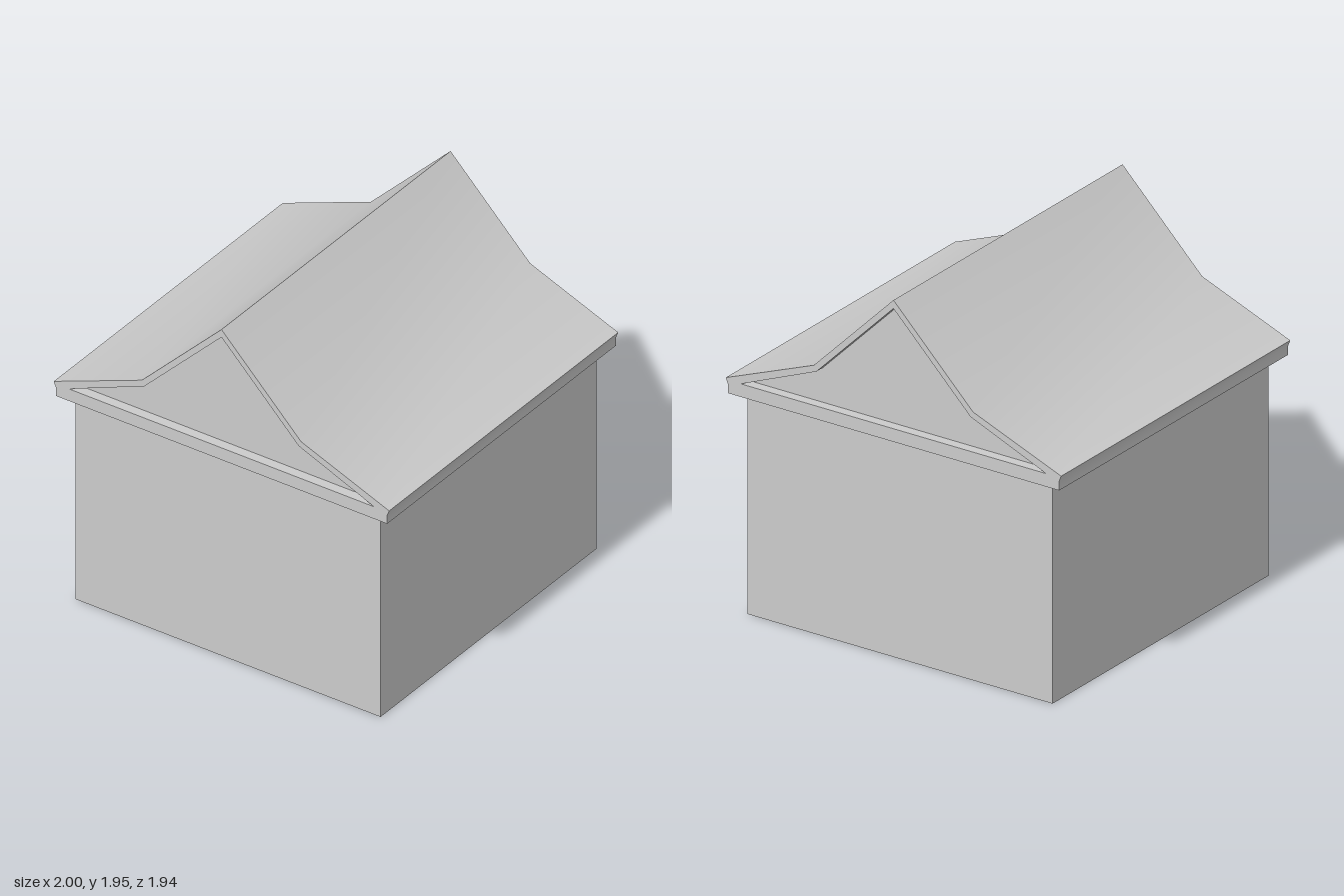
import * as THREE from 'three';

const material = new THREE.MeshStandardMaterial({ color: 0xcccccc, side: THREE.DoubleSide });

const WALL_X = 0.91, WALL_Z = 0.915, ROOF_Z = 0.97;
const EAVE_X = 0.988, EAVE_Y = 1.185;

// Right half of the roof outline, from ridge to eave tip, then the fascia below it
const slope = [[0, 1.945], [0.475, 1.47], [1, 1.265]];
const fascia = [[1, 1.265], [EAVE_X, 1.235], [EAVE_X, EAVE_Y]];
// Right half of the recessed gable opening
const opening = [[0, 1.9], [0.46, 1.44], [0.91, 1.255]];

const mirror = (pts) => pts.map(([x, y]) => [-x, y]).reverse();
const vectors = (pts) => pts.map(([x, y]) => new THREE.Vector2(x, y));

function addMesh(parent, name, geometry) {
  const mesh = new THREE.Mesh(geometry, material);
  mesh.name = name;
  parent.add(mesh);
  return mesh;
}

// Sheet swept along z; a clockwise path faces outward, normals are smooth along it
function sweep(pts, z0, z1) {
  const positions = [], index = [];
  pts.forEach(([x, y], i) => {
    positions.push(x, y, z0, x, y, z1);
    if (i > 0) {
      const a = 2 * i - 2;
      index.push(a, a + 1, a + 3, a, a + 3, a + 2);
    }
  });
  const g = new THREE.BufferGeometry();
  g.setAttribute('position', new THREE.Float32BufferAttribute(positions, 3));
  g.setIndex(index);
  g.computeVertexNormals();
  return g;
}

function rectangle(x, z) {
  return [[-x, -z], [x, -z], [x, z], [-x, z]];
}

function createGable() {
  const gable = new THREE.Group();
  const outer = [...mirror(slope), ...slope.slice(1), ...fascia.slice(1), ...mirror(fascia).slice(0, -1)];
  const inner = [...mirror(opening), ...opening.slice(1)];

  // Flat frame around the opening
  const frame = new THREE.Shape(vectors(outer));
  frame.holes.push(new THREE.Path(vectors(inner)));
  addMesh(gable, 'gableFrame', new THREE.ShapeGeometry(frame)).position.z = ROOF_Z;

  // Recessed panel, level with the wall
  addMesh(gable, 'gablePanel', new THREE.ShapeGeometry(new THREE.Shape(vectors(inner)))).position.z = WALL_Z;

  // Inner edges joining frame and panel, one flat strip per side
  inner.forEach((p, i) => {
    const next = inner[(i + 1) % inner.length];
    addMesh(gable, 'gableReveal', sweep([next, p], WALL_Z, ROOF_Z));
  });
  return gable;
}

export function createModel() {
  const house = new THREE.Group();
  house.name = 'house';

  // Four walls, open below and above
  const walls = new THREE.Group();
  walls.name = 'walls';
  house.add(walls);
  for (let i = 0; i < 4; i++) {
    const alongX = i % 2 === 0;
    const wall = addMesh(walls, 'wall', new THREE.PlaneGeometry(2 * (alongX ? WALL_X : WALL_Z), EAVE_Y));
    wall.geometry.translate(0, EAVE_Y / 2, alongX ? WALL_Z : WALL_X);
    wall.rotation.y = i * Math.PI / 2;
  }

  // Roof slopes and eave fascias, kept separate so the ridge stays sharp
  addMesh(house, 'rightRoofSlope', sweep(mirror(slope), -ROOF_Z, ROOF_Z));
  addMesh(house, 'leftRoofSlope', sweep(slope, -ROOF_Z, ROOF_Z));
  addMesh(house, 'rightFascia', sweep(mirror(fascia), -ROOF_Z, ROOF_Z));
  addMesh(house, 'leftFascia', sweep(fascia, -ROOF_Z, ROOF_Z));

  // Soffit ring under the overhang
  const ring = new THREE.Shape(vectors(rectangle(EAVE_X, ROOF_Z)));
  ring.holes.push(new THREE.Path(vectors(rectangle(WALL_X, WALL_Z))));
  addMesh(house, 'soffit', new THREE.ShapeGeometry(ring).rotateX(Math.PI / 2)).position.y = EAVE_Y;

  // Matching gables at both ends
  const front = createGable();
  front.name = 'frontGable';
  const back = createGable();
  back.name = 'backGable';
  back.rotation.y = Math.PI;
  house.add(front, back);

  return house;
}
